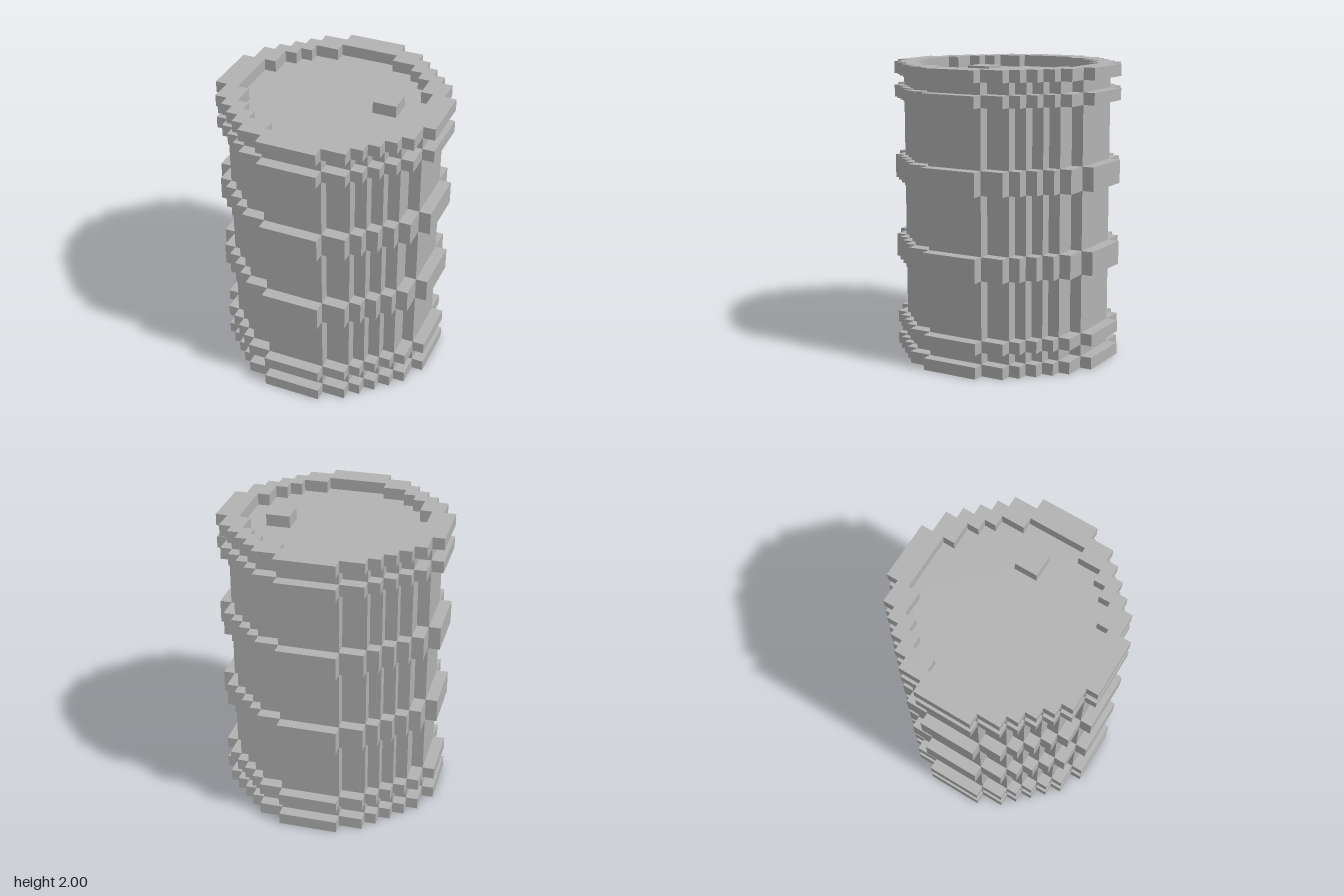
import * as THREE from 'three';

const STEP = 0.08;

// Stepped round outline reaching out to radius r, counter-clockwise
function steppedOutline(r) {
  const widths = [0.2];
  for (let w = 0.36; w < r + 0.01; w += STEP) widths.push(w);
  const n = widths.length;
  const quarter = [];
  for (let i = 0; i < n; i++) {
    const x = widths[n - 1 - i];
    if (i > 0) quarter.push([x, widths[i - 1]]); // inner corner
    quarter.push([x, widths[i]]); // outer corner
  }
  const points = [];
  for (let q = 0; q < 4; q++) {
    for (const [x, y] of quarter) {
      points.push(new THREE.Vector2(x, y));
    }
    quarter.forEach((p, i) => { quarter[i] = [-p[1], p[0]]; });
  }
  return points;
}

// Upright stepped disc, or a ring when an inner radius is given
function steppedSlab(y0, y1, outer, inner) {
  const shape = new THREE.Shape(steppedOutline(outer));
  if (inner) shape.holes.push(new THREE.Path(steppedOutline(inner)));
  const geometry = new THREE.ExtrudeGeometry(shape, { depth: y1 - y0, bevelEnabled: false });
  geometry.rotateX(-Math.PI / 2);
  geometry.translate(0, y0, 0);
  return geometry;
}

export function createModel() {
  const group = new THREE.Group();
  group.name = 'barrel';
  const metal = new THREE.MeshStandardMaterial({ color: 0xb2b2b2 });
  metal.name = 'grey metal';

  const add = (name, geometry) => {
    const mesh = new THREE.Mesh(geometry, metal);
    mesh.name = name;
    group.add(mesh);
    return mesh;
  };

  // Drum body, whose ends form the recessed lid and base
  add('body', steppedSlab(0.08, 1.92, 0.68));

  // Raised rims around the recessed ends
  add('bottomRim', steppedSlab(0, 0.08, 0.76, 0.6));
  add('topRim', steppedSlab(1.92, 2, 0.76, 0.6));

  // Hoops around the body
  const hoops = [
    ['lowerThinHoop', 0.16, 0.24],
    ['lowerWideHoop', 0.64, 0.8],
    ['upperWideHoop', 1.2, 1.36],
    ['upperThinHoop', 1.76, 1.84],
  ];
  for (const [name, y0, y1] of hoops) add(name, steppedSlab(y0, y1, 0.76, 0.68));

  // Square filler cap on the lid
  add('fillerCap', new THREE.BoxGeometry(0.16, 0.08, 0.16)).position.set(0.36, 1.96, -0.04);

  return group;
}
